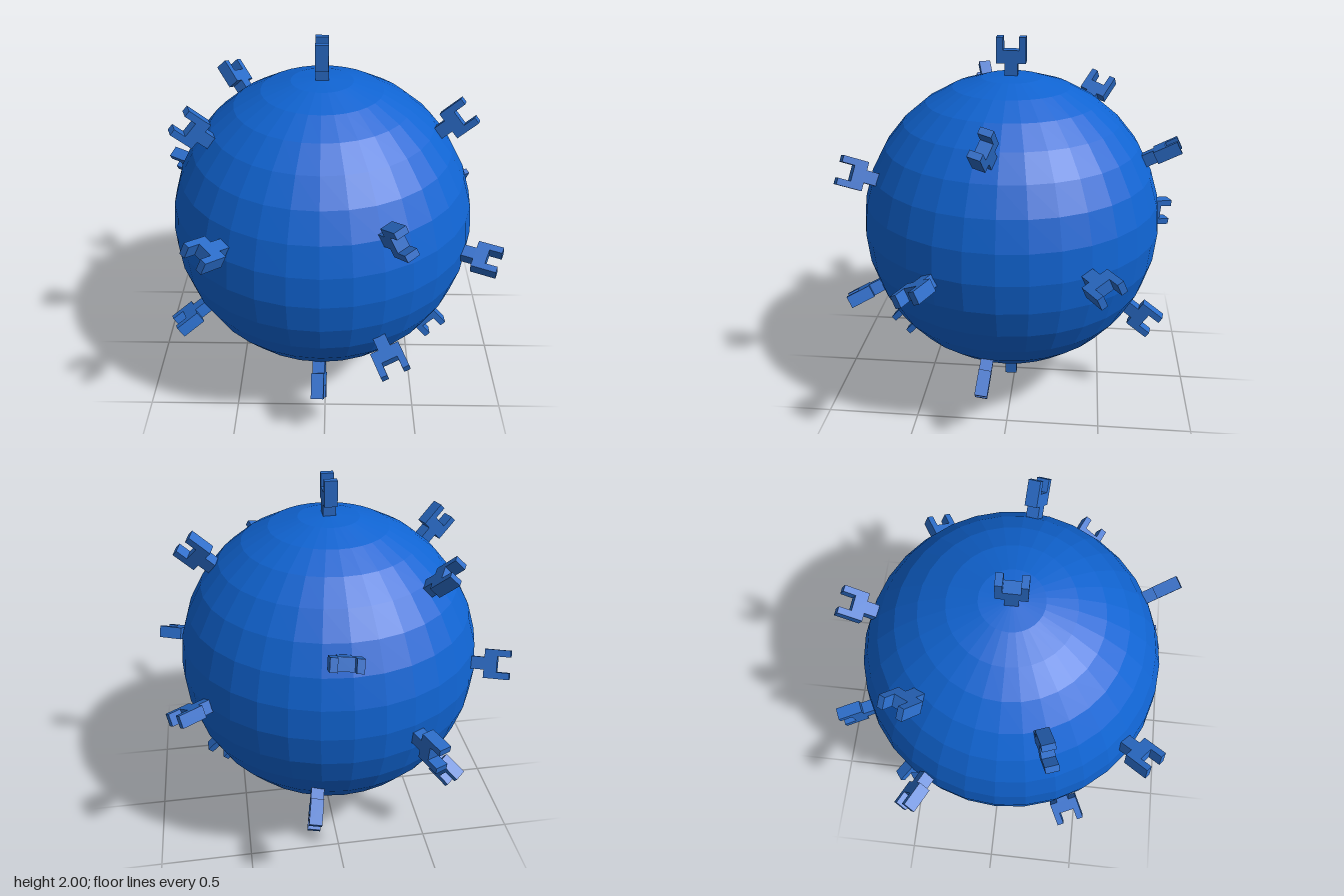
import * as THREE from 'three';

const CENTER = new THREE.Vector3(-0.02, 1.0, 0.02);
const RADIUS = 0.81;

// each spike: outward direction, then the direction its fork spreads
const SPIKES = [
  [[0, 1, 0], [0, 0, 1]],
  [[0, -1, 0], [1, 0, 0]],
  [[-0.62, 0.62, 0.22], [0, 1, 0]],
  [[0.69, 0.62, 0.06], [-0.67, 0.7, -0.35]],
  [[-0.5, 0.64, -0.46], [-0.58, 0.45, 0.66]],
  [[0.05, 0.43, -0.81], [-0.85, -0.33, 0.41]],
  [[0.35, 0.36, 0.77], [-0.43, 0.86, -0.19]],
  [[-0.53, 0.24, 0.72], [0.9, -0.4, 0]],
  [[-0.82, 0.09, -0.42], [-0.2, 0.85, 0.45]],
  [[0.84, -0.03, 0.37], [0, 0.4, -0.9]],
  [[0.78, 0, -0.5], [0, 0.37, -0.93]],
  [[-0.38, -0.09, -0.84], [0, 1, 0]],
  [[0.34, -0.34, 0.78], [0.9, 0.35, -0.25]],
  [[-0.71, -0.42, 0.39], [0.36, 0.21, 0.88]],
  [[0.18, -0.5, -0.75], [0, 0.8, -0.55]],
  [[-0.58, -0.52, -0.53], [-0.18, 0.79, -0.57]],
  [[0.61, -0.67, 0.09], [0.74, 0.67, -0.1]],
  [[-0.01, -0.67, 0.61], [-0.1, 0.67, 0.74]],
];

// Y-shaped fork outline, measured outward from the sphere's centre
function forkGeometry() {
  const half = [
    [0.033, 0.76], [0.033, 0.868], [0.076, 0.868],
    [0.076, 1.0], [0.041, 1.0], [0.041, 0.934],
  ];
  const outline = [...half, ...half.map(([x, y]) => [-x, y]).reverse()];
  const shape = new THREE.Shape(outline.map(([x, y]) => new THREE.Vector2(x, y)));
  const depth = 0.066;
  const geometry = new THREE.ExtrudeGeometry(shape, { depth, bevelEnabled: false });
  return geometry.translate(0, 0, -depth / 2);
}

export function createModel() {
  const model = new THREE.Group();
  model.name = 'spikedBall';
  const bodyMaterial = new THREE.MeshStandardMaterial({ color: 0x1064d2, flatShading: true });
  const spikeMaterial = new THREE.MeshStandardMaterial({ color: 0x2a6cc8, flatShading: true });

  // faceted ball
  const body = new THREE.Mesh(new THREE.SphereGeometry(RADIUS, 32, 16), bodyMaterial);
  body.name = 'body';
  body.position.copy(CENTER);
  model.add(body);

  // forked spikes standing out radially
  const spikes = new THREE.Group();
  spikes.name = 'spikes';
  spikes.position.copy(CENTER);
  const geometry = forkGeometry();
  SPIKES.forEach(([direction, spread], i) => {
    const out = new THREE.Vector3(...direction).normalize();
    const side = new THREE.Vector3(...spread).projectOnPlane(out).normalize();
    const normal = new THREE.Vector3().crossVectors(side, out);
    const spike = new THREE.Mesh(geometry, spikeMaterial);
    spike.name = `spike${i + 1}`;
    spike.quaternion.setFromRotationMatrix(new THREE.Matrix4().makeBasis(side, out, normal));
    spikes.add(spike);
  });
  model.add(spikes);
  return model;
}
